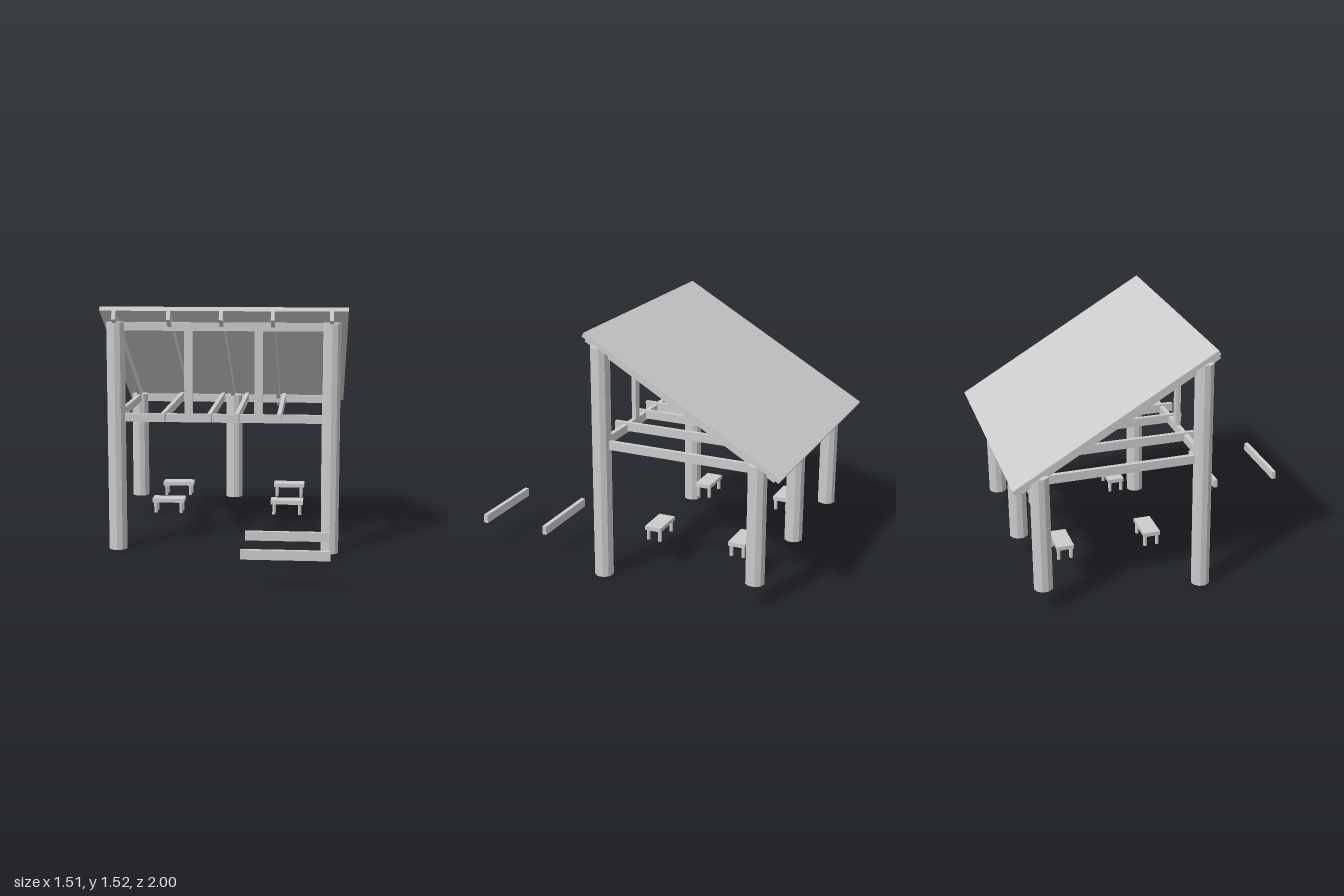
import * as THREE from 'three';

export function createModel() {
  const model = new THREE.Group();
  const mat = new THREE.MeshStandardMaterial({ color: 0xcccccc, flatShading: true });

  const add = (name, geometry, x, y, z, parent = model) => {
    const mesh = new THREE.Mesh(geometry, mat);
    mesh.name = name;
    mesh.position.set(x, y, z);
    parent.add(mesh);
    return mesh;
  };
  // Box given by its lower and upper limits on each axis
  const beam = (name, x0, x1, y0, y1, z0, z1, parent) =>
    add(name, new THREE.BoxGeometry(x1 - x0, y1 - y0, z1 - z0),
      (x0 + x1) / 2, (y0 + y1) / 2, (z0 + z1) / 2, parent);
  // Ten-sided post between two heights
  const post = (name, r, x, y0, y1, z, parent) =>
    add(name, new THREE.CylinderGeometry(r, r, y1 - y0, 10), x, (y0 + y1) / 2, z, parent);

  const left = 0.659, mid = -0.004, right = -0.667;
  const frontZ = 0.143, backZ = -0.829, t = 0.0135;

  // Posts: two tall in front, three short on higher ground behind
  for (const x of [right, left]) post('frontPost', 0.057, x, 0, 1.425, frontZ);
  for (const x of [right, mid, left]) post('backPost', 0.057, x, 0.14, 0.862, backZ);

  // Front frame
  beam('frontTopBeam', right, left, 1.373, 1.424, frontZ - t, frontZ + t);
  beam('frontLowerBeam', right, left, 0.809, 0.861, frontZ - t, frontZ + t);
  for (const x of [-0.217, 0.214])
    beam('frontStud', x - 0.026, x + 0.026, 0.861, 1.373, frontZ - t, frontZ + t);

  // Back and side beams
  beam('backBeam', right, left, 0.809, 0.861, backZ - t, backZ + t);
  for (const x of [right, left])
    beam('sideBeam', x - t, x + t, 0.809, 0.861, backZ, frontZ);

  // Joists running front to back
  for (const x of [-0.371, -0.084, 0.084, 0.342])
    beam('joist', x - 0.0125, x + 0.0125, 0.819, 0.872, -0.85, 0.214);

  // Sloping roof: local z runs up the slope, local y is square to it
  const roof = new THREE.Group();
  roof.name = 'roof';
  roof.position.set(0, 1.521, 0.193);
  roof.rotation.x = -Math.PI / 6;
  model.add(roof);
  beam('roofPanel', -0.755, 0.755, -0.028, 0, -1.378, 0, roof);
  for (const x of [-0.667, -0.332, -0.012, 0.301, 0.655])
    beam('rafter', x - 0.0115, x + 0.0115, -0.089, -0.028, -1.345, 0, roof);

  // Four small tables
  for (const x of [-0.374, 0.387]) for (const z of [-0.102, -0.645]) {
    const table = new THREE.Group();
    table.name = 'table';
    table.position.set(x, 0, z);
    model.add(table);
    beam('tableTop', -0.103, 0.103, 0.254, 0.279, -0.052, 0.052, table);
    for (const dx of [-0.082, 0.082]) for (const dz of [-0.038, 0.038])
      post('tableLeg', 0.0115, dx, 0.187, 0.254, dz, table);
  }

  // Two low rails in front
  for (const z of [0.56, 0.986])
    beam('lowRail', 0.16, 0.656, 0.174, 0.228, z - t, z + t);

  return model;
}
